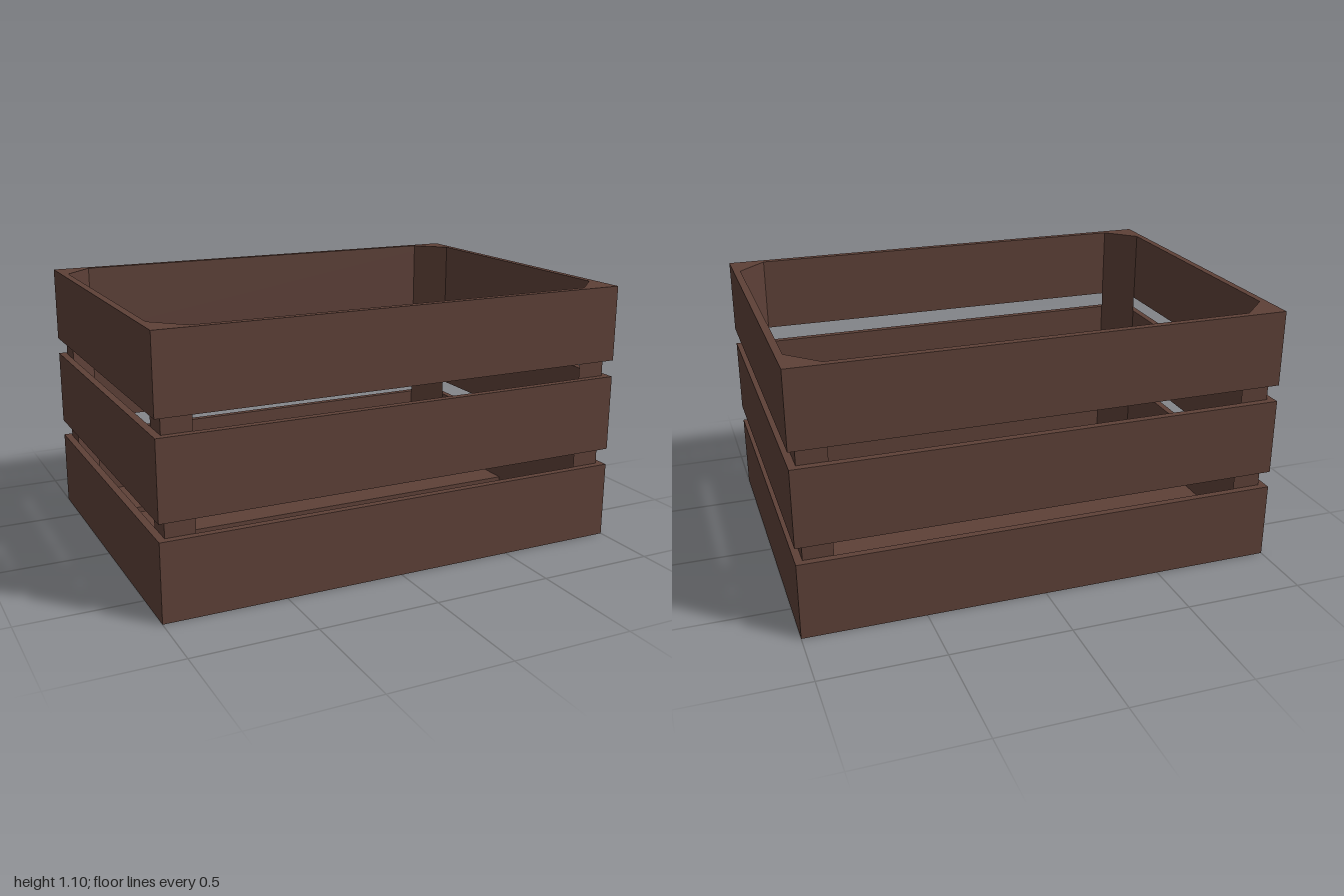
import * as THREE from 'three';

const HALF_X = 1, HALF_Z = 0.72, HEIGHT = 1.095, BOARD = 0.03, POST = 0.12;
const INNER_X = HALF_X - BOARD, INNER_Z = HALF_Z - BOARD;

export function createModel() {
  const crate = new THREE.Group();
  crate.name = 'crate';
  const wood = new THREE.MeshStandardMaterial({ color: 0x5d4037 });
  wood.name = 'brown wood';

  // Box given by its minimum and maximum corners
  const board = (name, [x0, y0, z0], [x1, y1, z1]) => {
    const mesh = new THREE.Mesh(new THREE.BoxGeometry(x1 - x0, y1 - y0, z1 - z0), wood);
    mesh.position.set((x0 + x1) / 2, (y0 + y1) / 2, (z0 + z1) / 2);
    mesh.name = name;
    crate.add(mesh);
  };

  // Three rows of wall slats; the long ones cover the ends of the short ones
  for (const [y0, y1] of [[0, 0.32], [0.39, 0.71], [0.78, HEIGHT]]) {
    board('frontSlat', [-HALF_X, y0, INNER_Z], [HALF_X, y1, HALF_Z]);
    board('backSlat', [-HALF_X, y0, -HALF_Z], [HALF_X, y1, -INNER_Z]);
    board('leftSlat', [INNER_X, y0, -INNER_Z], [HALF_X, y1, INNER_Z]);
    board('rightSlat', [-HALF_X, y0, -INNER_Z], [-INNER_X, y1, INNER_Z]);
  }

  // Floor slats
  for (const [z0, z1] of [[-INNER_Z, -0.39], [-0.33, -0.02], [0.04, 0.35], [0.41, INNER_Z]]) {
    board('floorSlat', [-INNER_X, 0, z0], [INNER_X, BOARD, z1]);
  }

  // Triangular posts in the four inner corners
  for (const sx of [-1, 1]) {
    for (const sz of [-1, 1]) {
      const x = sx * INNER_X, y = -sz * INNER_Z;
      const shape = new THREE.Shape([
        new THREE.Vector2(x, y),
        new THREE.Vector2(x - sx * POST, y),
        new THREE.Vector2(x, y + sz * POST),
      ]);
      const geometry = new THREE.ExtrudeGeometry(shape, { depth: HEIGHT - BOARD, bevelEnabled: false });
      geometry.rotateX(-Math.PI / 2);
      const post = new THREE.Mesh(geometry, wood);
      post.position.y = BOARD;
      post.name = 'cornerPost';
      crate.add(post);
    }
  }
  return crate;
}
